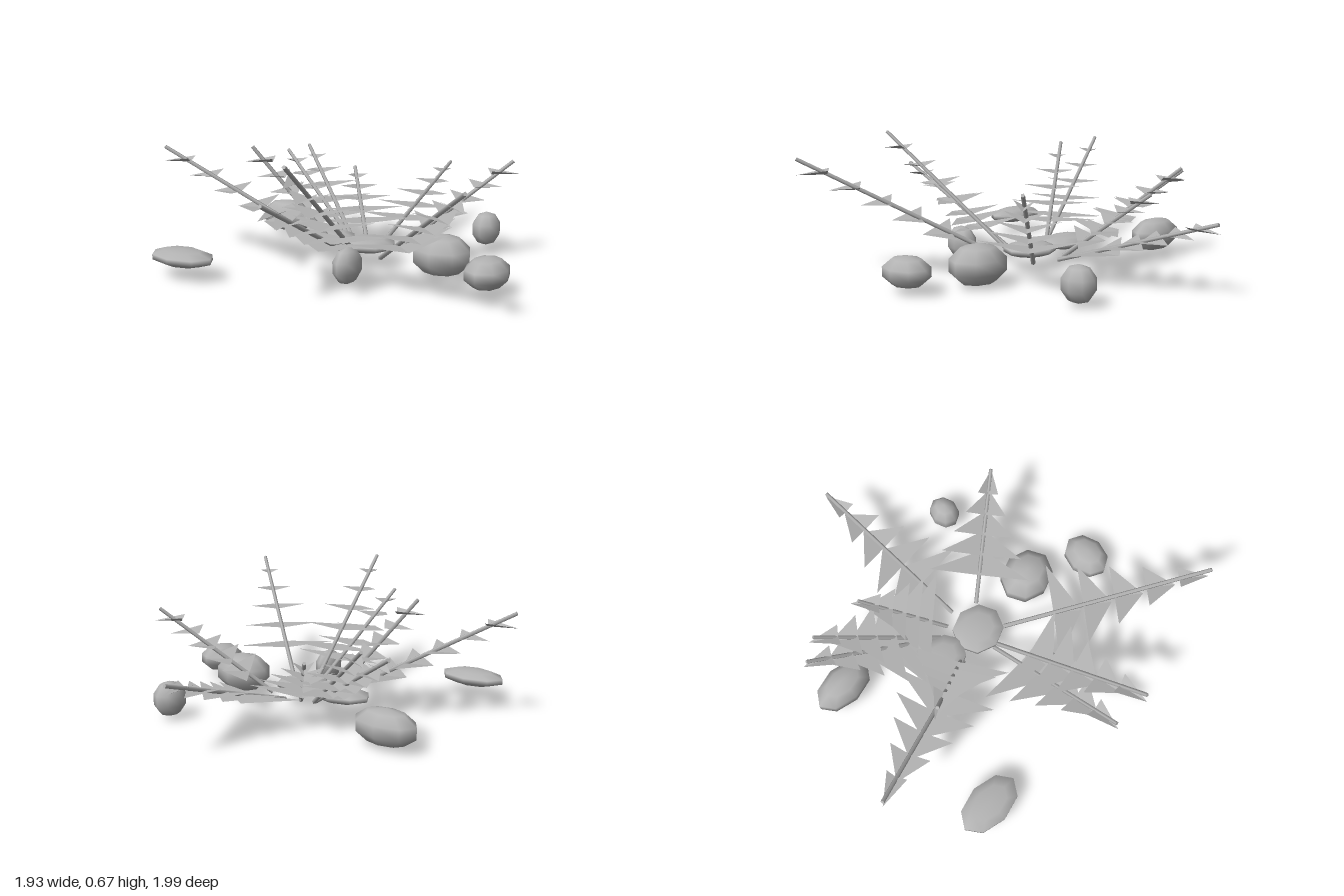
import * as THREE from 'three';

const V = (x, y, z) => new THREE.Vector3(x, y, z);

// Rocks: centre x, z and half sizes x, y, z
const ROCKS = [
  [0.065, 0.068, 0.142, 0.036, 0.13],
  [-0.2, 0.045, 0.16, 0.036, 0.115],
  [-0.565, 0.75, 0.177, 0.042, 0.107],
  [0.785, 0.2, 0.102, 0.077, 0.13],
  [0.432, -0.545, 0.074, 0.092, 0.087],
  [0.47, 0.045, 0.152, 0.105, 0.13],
  [-0.65, -0.22, 0.168, 0.09, 0.098],
  [0.185, 0.445, 0.058, 0.09, 0.09],
];

// Fronds: stem base x, z and stem tip x, y, z
const FRONDS = [
  [0.045, -0.105, -0.015, 0.36, -0.985],
  [0.175, -0.05, 0.64, 0.515, -0.4],
  [0.185, 0.15, 0.955, 0.6, 0.79],
  [0.085, 0.19, 0.23, 0.66, 0.975],
  [0.06, 0.19, 0.085, 0.475, 0.955],
  [-0.11, 0.13, -0.955, 0.565, 0.435],
  [-0.1, 0.11, -0.475, 0.59, 0.31],
  [-0.1, -0.05, -0.63, 0.49, -0.395],
  [-0.105, -0.045, -0.735, 0.46, -0.335],
  [-0.03, -0.07, -0.325, 0.39, -0.41],
];

// Two triangles meeting along a level midrib, with lifted tips swept to the back
function leafletGeometry(halfWidth, length) {
  const f = length / 2, lift = 0.025;
  const front = [0, 0, f], back = [0, 0, -f * 0.9];
  const g = new THREE.BufferGeometry();
  g.setAttribute('position', new THREE.Float32BufferAttribute([
    ...front, ...back, -halfWidth, lift, -f,
    ...front, halfWidth, lift, -f, ...back,
  ], 3));
  g.computeVertexNormals();
  return g;
}

function makeFrond([bx, bz, tx, ty, tz], material) {
  const frond = new THREE.Group();
  frond.name = 'frond';
  const base = V(bx, 0.07, bz), tip = V(tx, ty, tz);
  const along = tip.clone().sub(base);
  const run = Math.hypot(along.x, along.z);

  // Thin stem
  const stem = new THREE.Mesh(new THREE.CylinderGeometry(0.01, 0.012, along.length(), 5), material);
  stem.name = 'stem';
  stem.position.copy(base).add(tip).multiplyScalar(0.5);
  stem.quaternion.setFromUnitVectors(V(0, 1, 0), along.clone().normalize());
  frond.add(stem);

  // Five leaflet pairs, widening towards the base, each hung level from its rear end
  const length = Math.max(0.15 * run, 0.155);
  for (let i = 1; i <= 5; i++) {
    const leaf = new THREE.Mesh(leafletGeometry(0.053 * i, length), material);
    leaf.name = 'leafletPair';
    leaf.position.copy(base).addScaledVector(along, 1.075 - 0.15 * i);
    leaf.position.y -= 0.075 * along.y;
    leaf.rotation.y = Math.atan2(along.x, along.z);
    frond.add(leaf);
  }
  return frond;
}

export function createModel() {
  const grey = new THREE.MeshStandardMaterial({ color: 0xb3b3b3, side: THREE.DoubleSide });
  grey.name = 'grey';

  const model = new THREE.Group();
  model.name = 'fernWithRocks';

  // Squashed low-poly rocks, all centred at one height
  const rockGeometry = new THREE.SphereGeometry(1, 8, 5);
  const ring = Math.sin(Math.PI * 0.4);
  for (const [x, z, rx, ry, rz] of ROCKS) {
    const rock = new THREE.Mesh(rockGeometry, grey);
    rock.name = 'rock';
    rock.position.set(x, 0.105, z);
    rock.scale.set(rx / ring, ry, rz / ring);
    model.add(rock);
  }

  for (const f of FRONDS) model.add(makeFrond(f, grey));
  return model;
}
